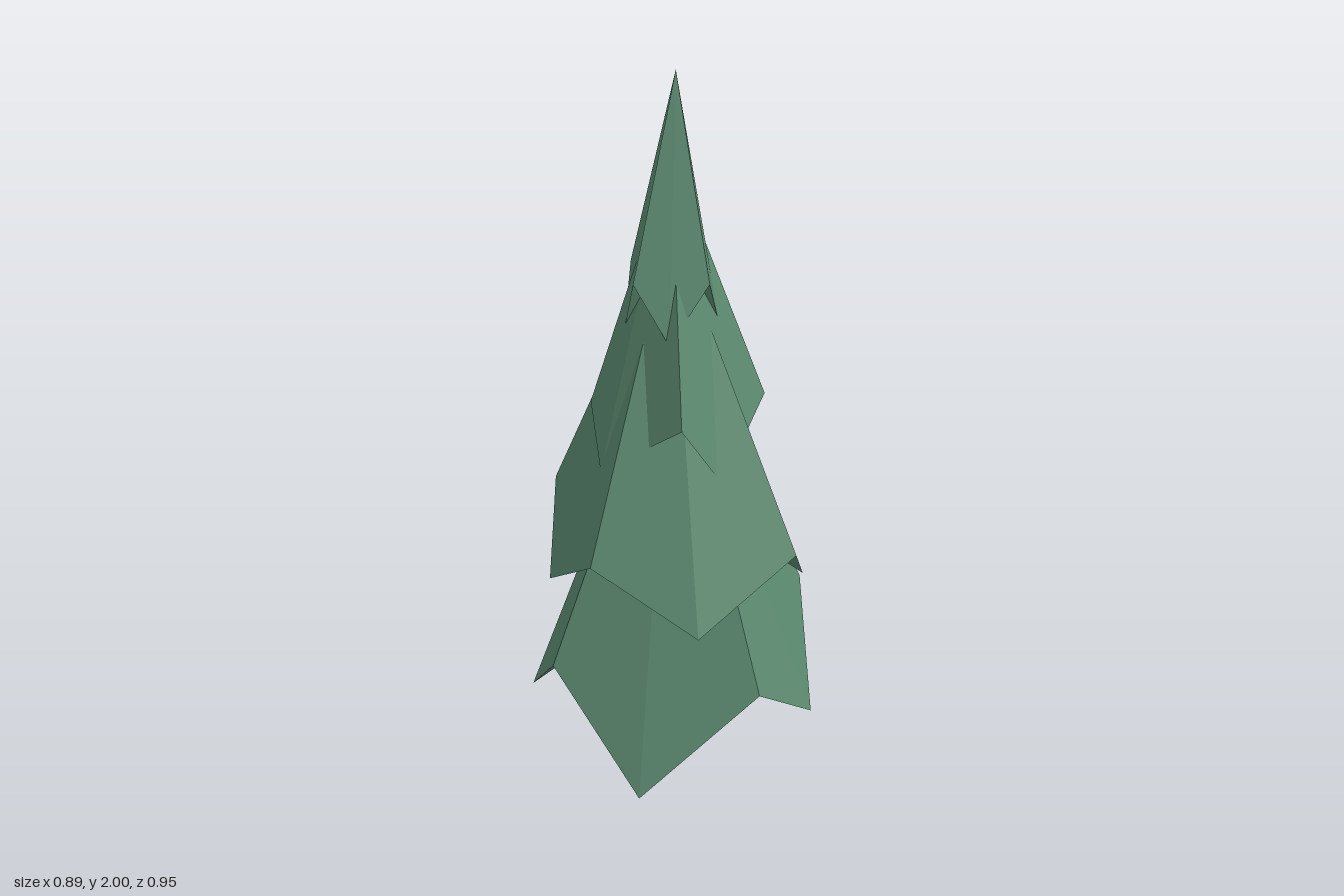
import * as THREE from 'three';

// One tier: a jagged eight-pointed cone with a hollowed underside.
// rim runs around the tier, from +x towards +z.
function tierGeometry(apex, rim, hollow) {
  const pos = [];
  rim.forEach((cur, i) => {
    const next = rim[(i + 1) % rim.length];
    pos.push(...apex, ...next, ...cur); // outer face
    pos.push(...hollow, ...cur, ...next); // underside face
  });
  const g = new THREE.BufferGeometry();
  g.setAttribute('position', new THREE.Float32BufferAttribute(pos, 3));
  g.computeVertexNormals();
  return g;
}

export function createModel() {
  const group = new THREE.Group();
  const needles = new THREE.MeshStandardMaterial({ color: 0x5c8a70, flatShading: true });
  needles.name = 'pineGreen';

  // Rims alternate low drooping tips and high notches
  const tiers = [
    {
      name: 'bottomBranches', apex: [0, 1.27, 0], hollow: [0, 0.43, 0],
      rim: [
        [0.445, 0.05, 0.04], [0.31, 0.31, 0.36], [-0.02, 0, 0.475], [-0.305, 0.31, 0.3],
        [-0.45, 0.03, 0], [-0.305, 0.31, -0.32], [0.03, 0.08, -0.48], [0.375, 0.32, -0.32],
      ],
    },
    {
      name: 'lowerMiddleBranches', apex: [0, 1.58, 0], hollow: [0, 0.78, 0],
      rim: [
        [0.395, 0.45, -0.11], [0.39, 0.69, 0.21], [0.14, 0.515, 0.415], [-0.17, 0.69, 0.37],
        [-0.345, 0.51, 0.14], [-0.395, 0.69, -0.18], [-0.14, 0.475, -0.4], [0.17, 0.69, -0.31],
      ],
    },
    {
      name: 'upperMiddleBranches', apex: [0, 1.77, 0], hollow: [0, 1.13, 0],
      rim: [
        [0.265, 1.07, -0.055], [0.176, 0.9, 0.21], [0.07, 1.075, 0.265], [-0.175, 0.9, 0.18],
        [-0.22, 1.07, 0.08], [-0.115, 0.9, -0.185], [-0.06, 1.07, -0.21], [0.176, 0.89, -0.155],
      ],
    },
    {
      name: 'topBranches', apex: [0.015, 2, 0.02], hollow: [0.01, 1.47, 0.01],
      rim: [
        [0.14, 1.28, 0], [0.12, 1.44, 0.09], [0.02, 1.28, 0.16], [-0.08, 1.45, 0.155],
        [-0.125, 1.28, 0.06], [-0.125, 1.45, -0.06], [-0.03, 1.28, -0.13], [0.085, 1.45, -0.11],
      ],
    },
  ];

  for (const { name, apex, rim, hollow } of tiers) {
    const mesh = new THREE.Mesh(tierGeometry(apex, rim, hollow), needles);
    mesh.name = name;
    group.add(mesh);
  }
  return group;
}
